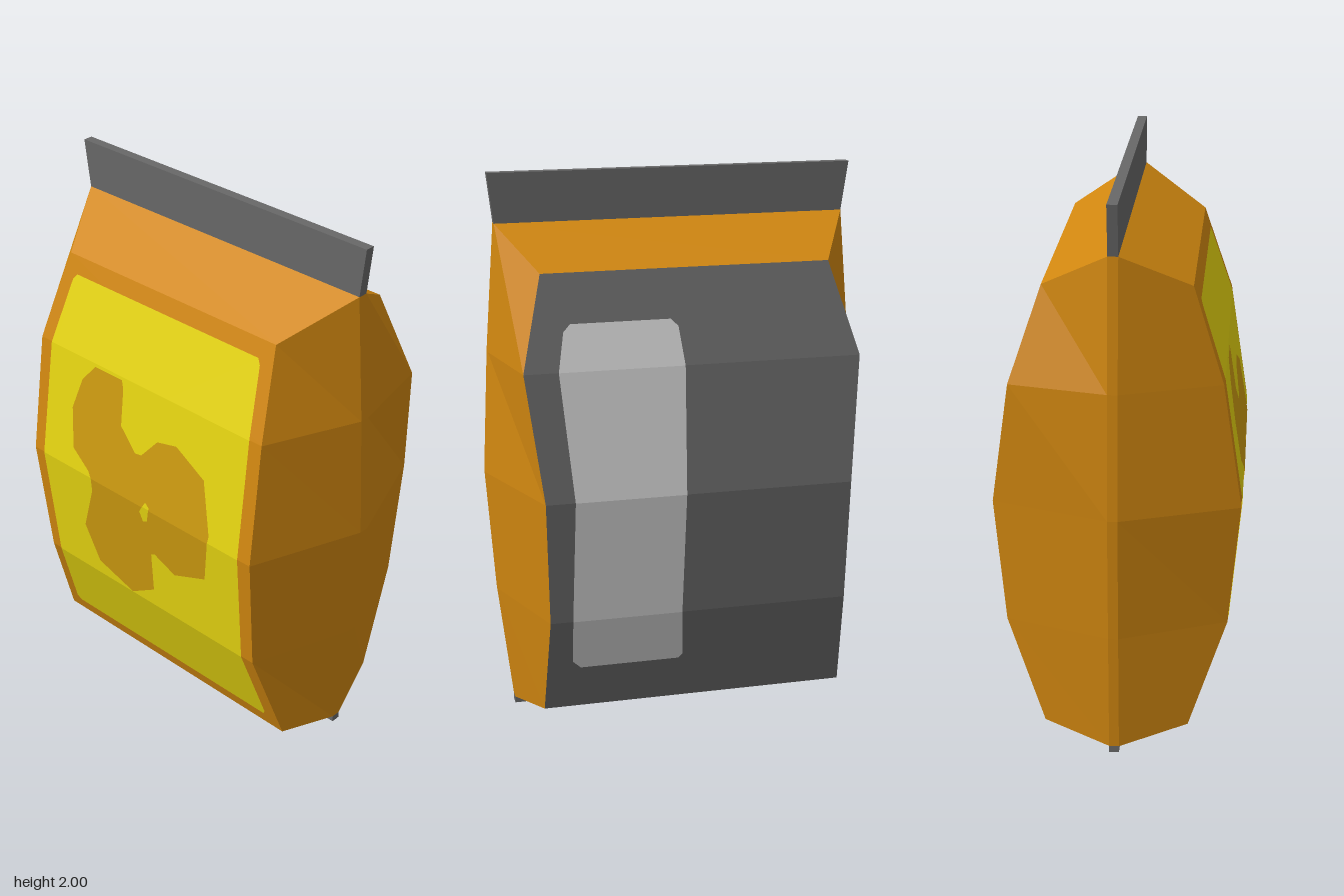
import * as THREE from 'three';

const mat = (name, color, side = THREE.FrontSide) =>
  Object.assign(new THREE.MeshStandardMaterial({ color, side }), { name });

// Bag sections from top to bottom:
// rim y, rim left/right x, panel y, panel z, front panel x range, back panel x range
const ROWS = [
  { ry: 1.825, rim: [-0.63, 0.63], y: 1.69, z: 0.25, front: [-0.49, 0.485], back: [-0.51, 0.51] },
  { ry: 1.37, rim: [-0.67, 0.665], y: 1.37, z: 0.357, front: [-0.55, 0.525], back: [-0.6, 0.59] },
  { ry: 0.925, rim: [-0.692, 0.688], y: 0.925, z: 0.425, front: [-0.548, 0.54], back: [-0.56, 0.535] },
  { ry: 0.47, rim: [-0.678, 0.657], y: 0.47, z: 0.387, front: [-0.525, 0.525], back: [-0.56, 0.522] },
  { ry: 0.025, rim: [-0.66, 0.605], y: 0.08, z: 0.255, front: [-0.58, 0.56], back: [-0.59, 0.53] },
];
const RIM_FRONT = 0.015, RIM_BACK = -0.02;

function flatGeometry(points) {
  const g = new THREE.BufferGeometry().setFromPoints(points);
  g.computeVertexNormals();
  return g;
}

// Depth of the bulging panel at a height
function panelZ(y) {
  let i = 0;
  while (i < ROWS.length - 2 && y < ROWS[i + 1].y) i++;
  const a = ROWS[i], b = ROWS[i + 1];
  return THREE.MathUtils.lerp(a.z, b.z, (a.y - y) / (a.y - b.y));
}

// Keep the part of a convex polygon on one side of a height
function clip(poly, y, keepBelow) {
  const out = [];
  const dist = (p) => (keepBelow ? y - p.y : p.y - y);
  poly.forEach((p, i) => {
    const q = poly[(i + 1) % poly.length], dp = dist(p), dq = dist(q);
    if (dp >= 0) out.push(p);
    if (dp * dq < 0) out.push(p.clone().lerp(q, dp / (dp - dq)));
  });
  return out;
}

// Lay a flat outline on the folded front (side 1) or back (side -1) panel
function decal(name, outline, holes, side, lift, material) {
  const toV = (list) => list.map(([x, y]) => new THREE.Vector2(x, y));
  const contour = toV(outline), inner = holes.map(toV);
  if (THREE.ShapeUtils.isClockWise(contour)) contour.reverse();
  inner.forEach((h) => { if (!THREE.ShapeUtils.isClockWise(h)) h.reverse(); });
  const all = [contour, ...inner].flat();
  const points = [];
  for (const tri of THREE.ShapeUtils.triangulateShape(contour, inner)) {
    for (let i = 0; i < ROWS.length - 1; i++) {
      const poly = clip(clip(tri.map((k) => all[k]), ROWS[i].y, true), ROWS[i + 1].y, false);
      const p3 = poly.map((p) => new THREE.Vector3(p.x, p.y, side * (panelZ(p.y) + lift)));
      for (let k = 1; k < p3.length - 1; k++) {
        points.push(p3[0], ...(side > 0 ? [p3[k], p3[k + 1]] : [p3[k + 1], p3[k]]));
      }
    }
  }
  const mesh = new THREE.Mesh(flatGeometry(points), material);
  mesh.name = name;
  return mesh;
}

// Flat crimped strip with slanted ends
function seal(name, y0, y1, bottom, top, material) {
  const shape = new THREE.Shape([
    new THREE.Vector2(bottom[0], y0), new THREE.Vector2(bottom[1], y0),
    new THREE.Vector2(top[1], y1), new THREE.Vector2(top[0], y1),
  ]);
  const g = new THREE.ExtrudeGeometry(shape, { depth: RIM_FRONT - RIM_BACK, bevelEnabled: false });
  g.translate(0, 0, RIM_BACK);
  const mesh = new THREE.Mesh(g, material);
  mesh.name = name;
  return mesh;
}

export function createModel() {
  const orange = mat('orange foil', 0xd18710);
  const gray = mat('gray foil', 0x686868);
  const yellow = mat('yellow label', 0xe6d511, THREE.DoubleSide);
  const amber = mat('amber print', 0xcc9a10, THREE.DoubleSide);
  const pale = mat('pale label', 0xcecece, THREE.DoubleSide);

  const bag = new THREE.Group();
  bag.name = 'snackBag';

  // Pillow body: eight corners per section
  const rings = ROWS.map((r) => [
    [r.front[0], r.y, r.z], [r.front[1], r.y, r.z],
    [r.rim[1], r.ry, RIM_FRONT], [r.rim[1], r.ry, RIM_BACK],
    [r.back[1], r.y, -r.z], [r.back[0], r.y, -r.z],
    [r.rim[0], r.ry, RIM_BACK], [r.rim[0], r.ry, RIM_FRONT],
  ].map((p) => new THREE.Vector3(...p)));
  const body = [], backPanel = [];
  const quad = (list, a, b, c, d) => list.push(a, b, c, a, c, d);
  for (let i = 0; i < rings.length - 1; i++) {
    const a = rings[i], b = rings[i + 1];
    for (let k = 0; k < 8; k++) {
      const n = (k + 1) % 8;
      quad(k === 4 ? backPanel : body, a[k], b[k], b[n], a[n]);
    }
  }
  // Shoulders and underside slopes
  const t = rings[0], u = rings[rings.length - 1];
  quad(body, t[7], t[0], t[1], t[2]);
  quad(body, t[3], t[4], t[5], t[6]);
  quad(body, u[0], u[7], u[2], u[1]);
  quad(body, u[4], u[3], u[6], u[5]);
  for (const [name, pts, m] of [['bagBody', body, orange], ['backPanel', backPanel, gray]]) {
    const mesh = new THREE.Mesh(flatGeometry(pts), m);
    mesh.name = name;
    bag.add(mesh);
  }

  // Crimped seals
  bag.add(seal('topSeal', 1.825, 2, [-0.63, 0.63], [-0.655, 0.65], gray));
  bag.add(seal('bottomSeal', 0, 0.025, [-0.66, 0.605], [-0.66, 0.605], gray));

  // Front label with its blotchy print
  bag.add(decal('frontLabel', [
    [-0.435, 1.63], [0.43, 1.63], [0.443, 1.61], [0.473, 1.37], [0.485, 0.925], [0.473, 0.47],
    [0.497, 0.16], [0.485, 0.14], [-0.505, 0.14], [-0.52, 0.16], [-0.478, 0.47],
    [-0.497, 0.925], [-0.495, 1.37], [-0.452, 1.61],
  ], [], 1, 0.003, yellow));
  bag.add(decal('frontPrint', [
    [-0.26, 1.36], [-0.125, 1.36], [-0.115, 1.33], [-0.11, 1.19], [-0.03, 1.115], [0, 1.12],
    [0.07, 1.2], [0.16, 1.22], [0.3, 1.15], [0.35, 0.955], [0.32, 0.75], [0.165, 0.685],
    [0.07, 0.73], [0.05, 0.72], [0.045, 0.55], [-0.075, 0.475], [-0.245, 0.535], [-0.305, 0.68],
    [-0.24, 0.87], [-0.24, 0.925], [-0.255, 0.95], [-0.34, 1.01], [-0.36, 1.165], [-0.32, 1.29],
  ], [[[0.01, 0.9], [0.04, 0.95], [0.06, 0.935], [0.045, 0.87], [0.025, 0.86]]], 1, 0.006, amber));

  // Information label on the back
  bag.add(decal('backLabel', [
    [0.07, 1.525], [0.42, 1.525], [0.445, 1.5], [0.47, 1.37], [0.432, 0.925], [0.442, 0.47],
    [0.435, 0.29], [0.405, 0.26], [0.045, 0.26], [0.03, 0.28], [0.047, 0.47],
    [0.04, 0.925], [0.03, 1.37], [0.045, 1.5],
  ], [], -1, 0.003, pale));

  return bag;
}
